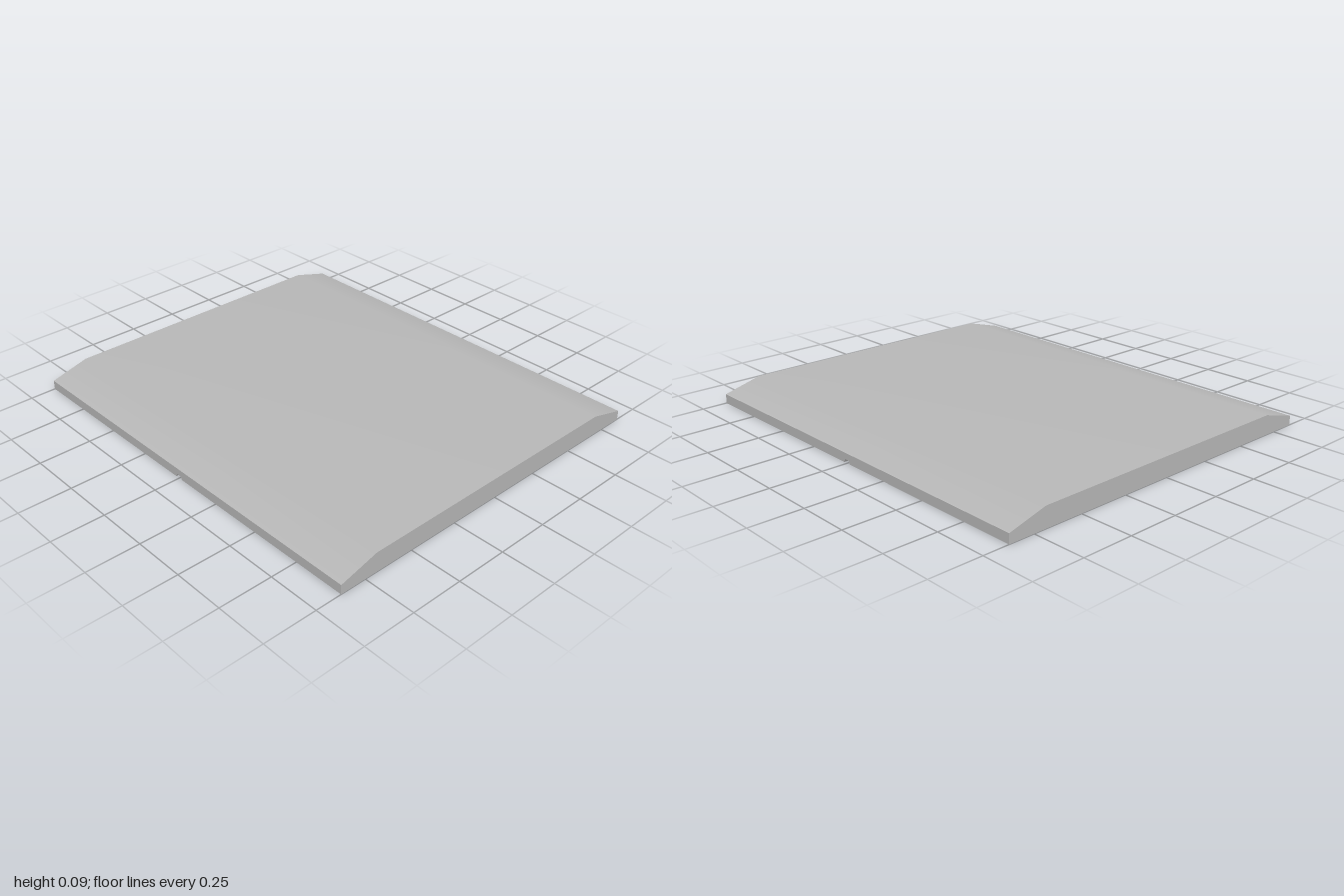
import * as THREE from 'three';

const HX = 0.875, HZ = 1, EDGE = 0.045, TOP = 0.095, BEVEL = 0.69;
const GROOVE = [[0.02, 0], [0.012, 0.015], [-0.012, 0.015], [-0.02, 0]];

// Rounded rectangle outline, counter-clockwise, turned and moved into place
function roundedRect(hx, hz, r, cx = 0, cz = 0, turn = 0, steps = 8) {
  const pts = [];
  [[1, 1], [-1, 1], [-1, -1], [1, -1]].forEach(([sx, sz], k) => {
    for (let i = 0; i <= steps; i++) {
      const a = (k + i / steps) * Math.PI / 2;
      pts.push(new THREE.Vector2(sx * (hx - r) + r * Math.cos(a), sz * (hz - r) + r * Math.sin(a)));
    }
  });
  const origin = new THREE.Vector2();
  return pts.map(p => p.rotateAround(origin, turn).add(new THREE.Vector2(cx, cz)));
}

function indexed(positions, index) {
  const g = new THREE.BufferGeometry();
  g.setAttribute('position', new THREE.Float32BufferAttribute(positions, 3));
  g.setIndex(index);
  g.computeVertexNormals();
  return g;
}

// Strip swept along z from an open cross-section
function sweep(section, half) {
  const pos = [], index = [];
  section.forEach(([x, y]) => pos.push(x, y, half, x, y, -half));
  for (let i = 0; i < section.length - 1; i++) {
    const a = 2 * i;
    index.push(a, a + 2, a + 1, a + 2, a + 3, a + 1);
  }
  return indexed(pos, index);
}

// Wall of a recess, joining outlines at rising heights
function recessWall(loops) {
  const pos = [], index = [], n = loops[0].pts.length;
  loops.forEach(({ pts, y }) => pts.forEach(p => pos.push(p.x, y, p.y)));
  for (let j = 0; j < loops.length - 1; j++) {
    for (let i = 0; i < n; i++) {
      const a = j * n + i, b = j * n + (i + 1) % n;
      index.push(a, b, a + n, b, b + n, a + n);
    }
  }
  return indexed(pos, index);
}

const polygon = pts => new THREE.Shape(pts.map(p => (Array.isArray(p) ? new THREE.Vector2(...p) : p)));
const facingDown = (shape, y) => new THREE.ShapeGeometry(shape).rotateX(Math.PI / 2).translate(0, y, 0);

export function createModel() {
  const model = new THREE.Group();
  const grey = new THREE.MeshStandardMaterial({ color: 0xb8b8b8 });
  grey.name = 'grey';
  const add = (name, geometry, parent = model) => {
    const mesh = new THREE.Mesh(geometry, grey);
    mesh.name = name;
    parent.add(mesh);
    return mesh;
  };

  // Softly shaded top with sloping sides
  const crown = [[-HX, EDGE], [-BEVEL, TOP], [BEVEL, TOP], [HX, EDGE]];
  add('topSurface', sweep(crown, HZ));

  // Flat ends and notched sides
  const endShape = polygon([[-HX, 0], [HX, 0], ...[...crown].reverse()]);
  add('frontEnd', new THREE.ShapeGeometry(endShape).translate(0, 0, HZ));
  add('backEnd', new THREE.ShapeGeometry(endShape).rotateY(Math.PI).translate(0, 0, -HZ));
  const sideShape = polygon([[-HZ, 0], ...[...GROOVE].reverse(), [HZ, 0], [HZ, EDGE], [-HZ, EDGE]]);
  for (const s of [1, -1]) {
    add(s > 0 ? 'leftSide' : 'rightSide',
      new THREE.ShapeGeometry(sideShape).rotateY(s * Math.PI / 2).translate(s * HX, 0, 0));
  }

  // Groove across the middle of the underside
  const groove = sweep(GROOVE, HX).toNonIndexed();
  groove.computeVertexNormals();
  add('centreGroove', groove.rotateY(Math.PI / 2));

  // Underside halves, each with two pockets and their corner slots
  const pocketSteps = [[0, 0], [0.005, 0.02], [0.015, 0.036], [0.028, 0.046], [0.045, 0.05]];
  const depth = 0.05, slotDepth = 0.02;
  for (const sz of [-1, 1]) {
    const z0 = sz > 0 ? 0.02 : -HZ, z1 = sz > 0 ? HZ : -0.02;
    const plate = polygon([[-HX, z0], [HX, z0], [HX, z1], [-HX, z1]]);

    for (const sx of [-1, 1]) {
      const cx = sx * HX / 2, cz = sz * 0.5;
      const pocket = new THREE.Group();
      pocket.name = 'pocket';
      model.add(pocket);

      const loops = pocketSteps.map(([inset, y]) => ({
        pts: roundedRect(0.29 - inset, 0.38 - inset, 0.095 - inset, cx, cz), y
      }));
      plate.holes.push(new THREE.Path(loops[0].pts));
      add('pocketWall', recessWall(loops), pocket);
      add('pocketFloor', facingDown(polygon(loops[loops.length - 1].pts), depth), pocket);

      // Two long ribs on the pocket floor
      for (const k of [-1, 1]) {
        const rib = new THREE.CapsuleGeometry(0.014, 0.53, 4, 12).rotateX(Math.PI / 2);
        add('rib', rib, pocket).position.set(cx + k * 0.16, depth, cz);
      }

      // Small diagonal slots outside the pocket corners
      for (const kx of [-1, 1]) {
        for (const kz of [-1, 1]) {
          const pts = roundedRect(0.026, 0.008, 0.008, cx + kx * 0.345, cz + kz * 0.42, kx * kz * Math.PI / 4, 4);
          plate.holes.push(new THREE.Path(pts));
          add('slotWall', recessWall([{ pts, y: 0 }, { pts, y: slotDepth }]), pocket);
          add('slotFloor', facingDown(polygon(pts), slotDepth), pocket);
        }
      }
    }
    add('undersidePlate', facingDown(plate, 0));
  }
  return model;
}
